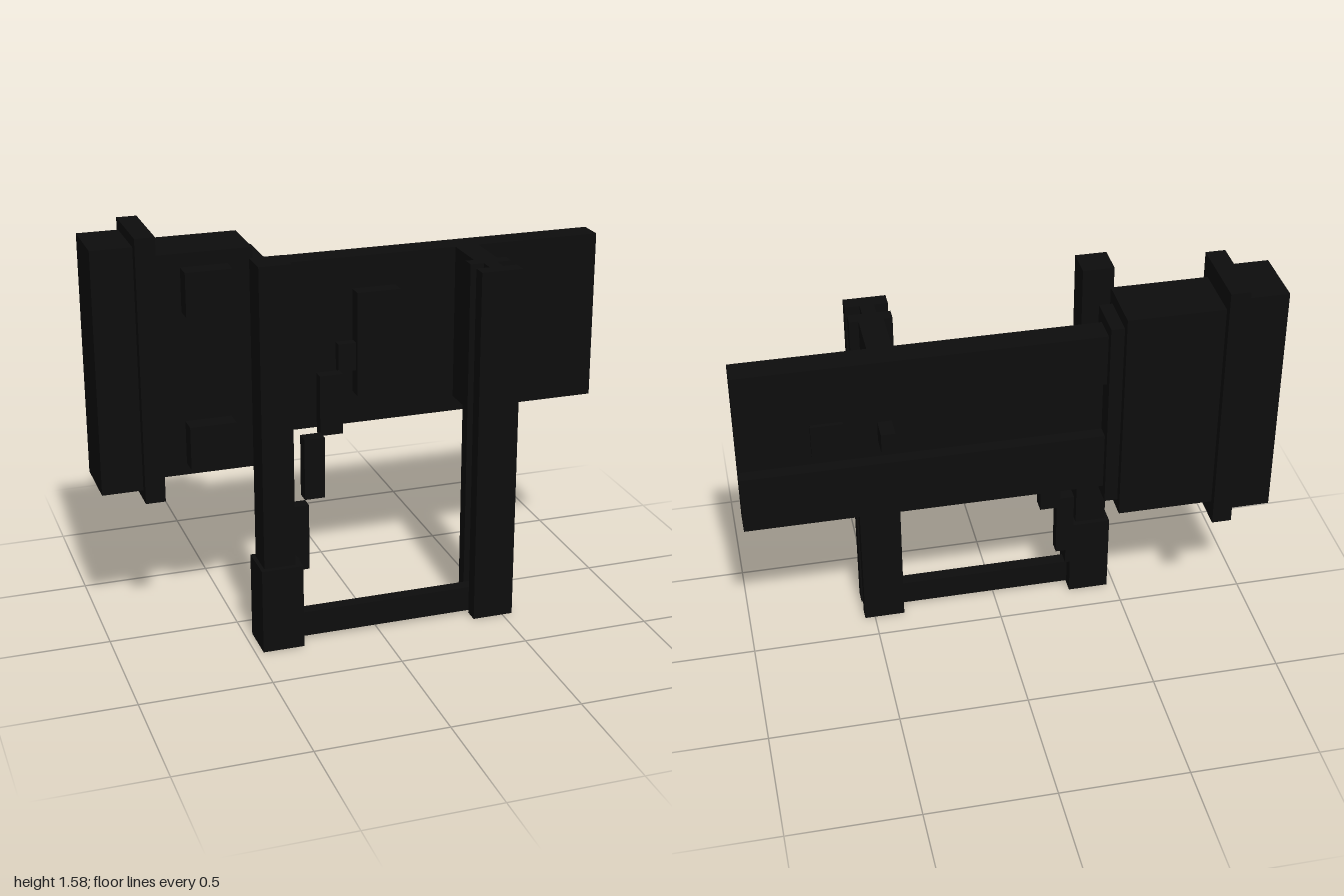
import * as THREE from 'three';

export function createModel() {
  const model = new THREE.Group();
  const black = new THREE.MeshStandardMaterial({ color: 0x0d0d0d });
  black.name = 'black';

  // Box given by its extents on each axis
  const box = (name, [x0, x1], [y0, y1], [z0, z1]) => {
    const mesh = new THREE.Mesh(new THREE.BoxGeometry(x1 - x0, y1 - y0, z1 - z0), black);
    mesh.position.set((x0 + x1) / 2, (y0 + y1) / 2, (z0 + z1) / 2);
    mesh.name = name;
    model.add(mesh);
  };

  // Long beam: C-shaped section with the channel open to the back
  const section = new THREE.Shape([
    [0.08, 0.74], [0.18, 0.74], [0.18, 0.97], [0.13, 0.97],
    [0.13, 1.2], [0.18, 1.2], [0.18, 1.405], [0.08, 1.405],
  ].map(([x, y]) => new THREE.Vector2(x, y)));
  const beam = new THREE.Mesh(
    new THREE.ExtrudeGeometry(section, { depth: 1.4, bevelEnabled: false }), black);
  beam.rotation.y = Math.PI / 2;
  beam.position.x = -0.4;
  beam.name = 'channelBeam';
  model.add(beam);
  box('channelPlate', [0.61, 0.73], [1.01, 1.14], [-0.145, -0.12]);

  // Stacked housing at the heavy end
  box('endCap', [-1, -0.845], [0.605, 1.54], [-0.245, 0]);
  box('collar', [-0.845, -0.77], [0.565, 1.58], [-0.27, 0.037]);
  box('housing', [-0.77, -0.405], [0.645, 1.5], [-0.24, -0.005]);
  box('housingLip', [-0.405, -0.355], [0.69, 1.45], [-0.21, -0.035]);
  for (const y of [0.69, 1.28]) box('housingBoss', [-0.675, -0.5], [y, y + 0.168], [-0.01, 0.068]);

  // Front plate and the stepped linkage falling away from it
  box('pivotPlate', [0, 0.17], [0.87, 1.28], [-0.085, -0.02]);
  const links = [
    [[-0.07, 0], [0.97, 1.08], [-0.07, -0.035]],
    [[-0.16, -0.07], [0.74, 0.98], [-0.03, 0.015]],
    [[-0.24, -0.16], [0.51, 0.755], [0.015, 0.07]],
    [[-0.31, -0.24], [0.245, 0.51], [0.07, 0.12]],
    [[-0.31, -0.285], [0.165, 0.3], [0.09, 0.14]],
  ];
  for (const extents of links) box('linkStep', ...extents);

  // Left hand upright with its foot
  box('gripPost', [-0.455, -0.335], [0.3, 1.5], [0.13, 0.25]);
  box('gripFoot', [-0.47, -0.31], [0, 0.335], [0.11, 0.27]);

  // I-section upright, its arm to the beam and the pin through the back
  box('postFlange', [0.38, 0.54], [0, 1.405], [0.107, 0.157]);
  box('postFlange', [0.38, 0.54], [0, 1.405], [0.213, 0.27]);
  box('postWeb', [0.432, 0.485], [0, 1.405], [0.157, 0.213]);
  box('postArm', [0.413, 0.505], [0.8, 1.405], [-0.08, 0.107]);
  box('armPin', [0.432, 0.485], [1.04, 1.12], [-0.215, -0.12]);

  // Bottom tie between the uprights
  box('crossbar', [-0.31, 0.435], [0.01, 0.11], [0.16, 0.21]);

  return model;
}
